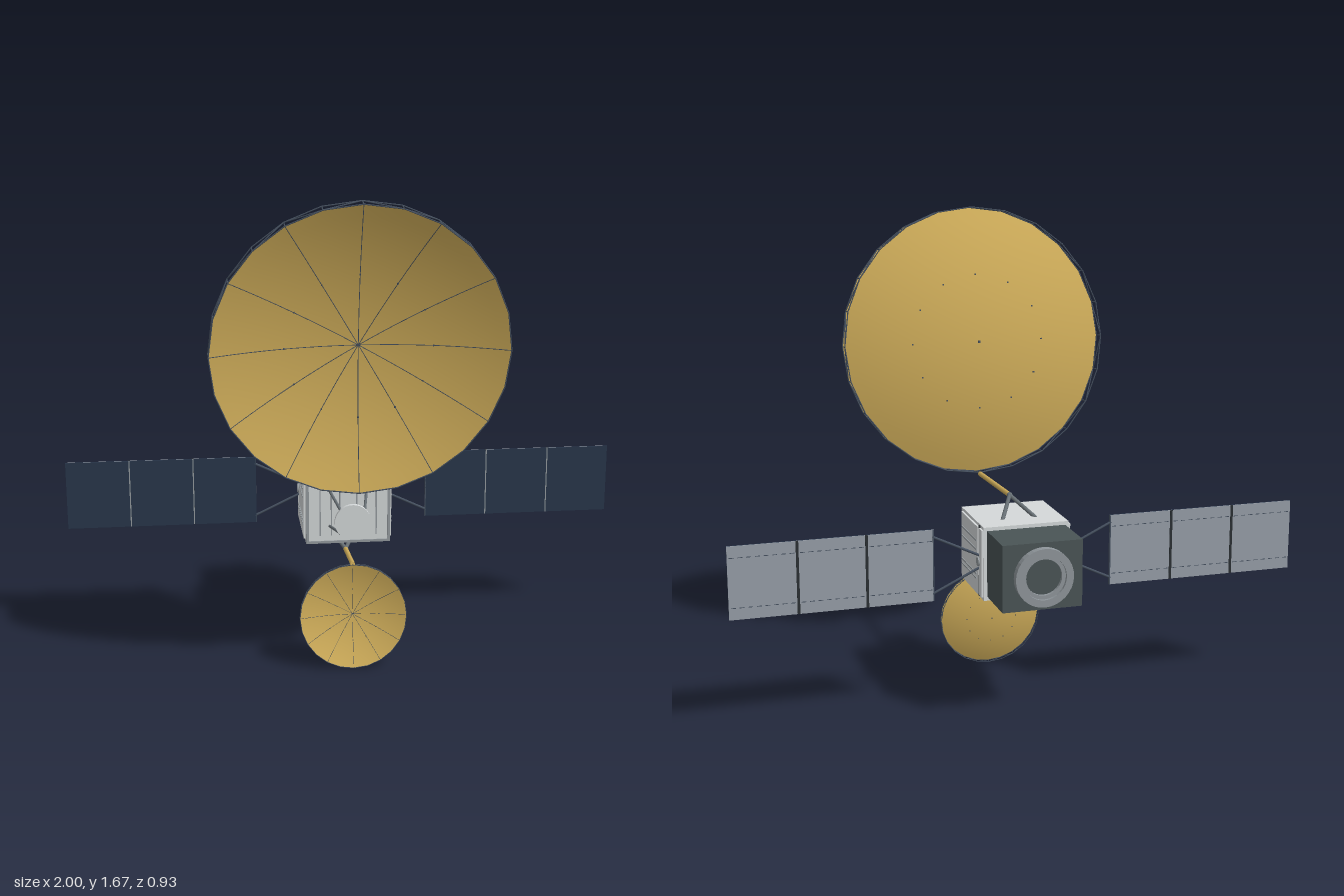
import * as THREE from 'three';
import { mergeGeometries } from 'three/addons/utils/BufferGeometryUtils.js';

const mat = (name, color, side = THREE.FrontSide) => {
  const m = new THREE.MeshStandardMaterial({ color, side });
  m.name = name;
  return m;
};
const V = (x, y, z) => new THREE.Vector3(x, y, z);

// Cylinder running from a to b
function barGeo(a, b, r, sides = 6) {
  const d = b.clone().sub(a);
  const g = new THREE.CylinderGeometry(r, r, d.length(), sides);
  g.applyQuaternion(new THREE.Quaternion().setFromUnitVectors(V(0, 1, 0), d.normalize()));
  const mid = a.clone().add(b).multiplyScalar(0.5);
  return g.translate(mid.x, mid.y, mid.z);
}

export function createModel() {
  const root = new THREE.Group();
  root.name = 'satellite';
  const gold = mat('gold', 0xcfad5a, THREE.DoubleSide);
  const hull = mat('hull grey', 0xd5d9da);
  const trim = mat('trim grey', 0x959b9f);
  const dark = mat('dark slate', 0x4a5456);
  const strut = mat('strut grey', 0x676f74);
  const wire = mat('truss navy', 0x465160);
  const cell = mat('solar navy', 0x28374b);
  const back = mat('panel back grey', 0x979ea8);
  const black = mat('black', 0x2a2f33);
  const ringMat = mat('ring grey', 0x8f969b, THREE.DoubleSide);

  const add = (name, geo, m, parent = root) => {
    const mesh = new THREE.Mesh(geo, m);
    mesh.name = name;
    parent.add(mesh);
    return mesh;
  };
  const box = (name, w, h, d, x, y, z, m, parent) =>
    add(name, new THREE.BoxGeometry(w, h, d).translate(x, y, z), m, parent);
  const bar = (name, a, b, r, m, parent) => add(name, barGeo(a, b, r, 8), m, parent);

  const CY = 0.533; // height of the body axis

  // Main body and rear equipment box
  box('body', 0.3, 0.257, 0.28, 0, CY - 0.001, -0.12, hull);
  box('rearBox', 0.276, 0.23, 0.18, 0, CY, -0.35, dark);

  // Raised frame and vertical ribs on the front face
  for (const s of [-1, 1]) {
    box('frontFrameSide', 0.01, 0.257, 0.004, s * 0.145, CY - 0.001, 0.022, trim);
    box('frontFrameEdge', 0.28, 0.009, 0.004, 0, CY - 0.001 + s * 0.124, 0.022, trim);
    for (const x of [0.03, 0.06, 0.1])
      box('frontRib', 0.004, 0.2, 0.005, s * x, CY, 0.022, trim);

    // Side plates, the seam between them and long ribs
    box('sidePlate', 0.008, 0.235, 0.21, s * 0.153, CY, -0.105, hull);
    box('sidePlateRear', 0.008, 0.235, 0.036, s * 0.153, CY, -0.24, hull);
    box('sideSeam', 0.006, 0.25, 0.007, s * 0.152, CY, -0.215, black);
    for (const y of [-0.066, -0.05, 0.035, 0.067])
      box('sideRib', 0.004, 0.005, 0.19, s * 0.158, CY + y, -0.105, trim);
  }

  // Engine ring at the rear
  const ring = [[0.062, 0], [0.062, 0.015], [0.075, 0.015], [0.075, 0.025], [0.1, 0.025], [0.1, 0]]
    .map(([r, h]) => new THREE.Vector2(r, h)).reverse();
  add('engineRing', new THREE.LatheGeometry(ring, 32).toNonIndexed().rotateX(-Math.PI / 2)
    .translate(0, CY, -0.44), ringMat).geometry.computeVertexNormals();
  add('engineCore', new THREE.CylinderGeometry(0.062, 0.062, 0.005, 32).rotateX(Math.PI / 2)
    .translate(0, CY, -0.441), dark);

  // Feed disc on four splayed legs
  add('feedDisc', new THREE.CylinderGeometry(0.063, 0.063, 0.014, 32).rotateX(Math.PI / 2)
    .translate(0, CY, 0.168), hull);
  for (const sx of [-1, 1]) for (const sy of [-1, 1])
    bar('feedLeg', V(sx * 0.066, CY + sy * 0.066, 0.018), V(sx * 0.042, CY + sy * 0.042, 0.163), 0.005, strut);

  // Solar wings
  for (const s of [-1, 1]) {
    const wing = new THREE.Group();
    wing.name = s > 0 ? 'leftWing' : 'rightWing';
    root.add(wing);
    const Z = -0.222;
    add('wingHub', new THREE.CylinderGeometry(0.016, 0.016, 0.012, 16).rotateZ(Math.PI / 2)
      .translate(s * 0.156, CY, Z), trim, wing);
    for (const t of [-1, 1])
      bar('yokeArm', V(s * 0.155, CY + t * 0.022, Z), V(s * 0.318, CY + t * 0.1, Z), 0.0045, wire, wing);
    for (let i = 0; i < 3; i++) {
      const x = s * (0.4265 + i * 0.2302);
      box('panelFront', 0.226, 0.25, 0.004, x, CY, Z + 0.002, cell, wing);
      box('panelBack', 0.226, 0.25, 0.003, x, CY, Z - 0.0015, back, wing);
      for (const t of [-1, 1]) for (let k = 0; k < 8; k++)
        box('backDash', 0.016, 0.0025, 0.0006, x + (k - 3.5) * 0.028, CY + t * 0.085, Z - 0.0032, wire, wing);
      if (i) {
        box('hingeFront', 0.004, 0.25, 0.003, x - s * 0.115, CY, Z + 0.002, trim, wing);
        box('hingeBack', 0.009, 0.25, 0.004, x - s * 0.115, CY, Z - 0.0025, black, wing);
      }
    }
    box('wingRootEdge', 0.004, 0.25, 0.008, s * 0.315, CY, Z, wire, wing);
  }

  // Mesh dish: parabolic skin, rim truss and twelve ribs
  function dish(name, R, depth, trussDepth, r, center, tilt) {
    const g = new THREE.Group();
    g.name = name;
    g.position.copy(center);
    g.rotation.x = tilt;
    root.add(g);
    const bowl = (q) => depth * (q * q - 1);
    const pts = [];
    for (let i = 0; i <= 12; i++) pts.push(new THREE.Vector2(R * i / 12, bowl(i / 12)));
    add('dishSkin', new THREE.LatheGeometry(pts, 24).rotateX(Math.PI / 2), gold, g);

    const N = 24, truss = [], ribs = [];
    const rim = (i, z) => V(R * Math.cos(i * Math.PI * 2 / N), R * Math.sin(i * Math.PI * 2 / N), z);
    for (let i = 0; i < N; i++) {
      truss.push(barGeo(rim(i, 0), rim(i + 1, 0), r), barGeo(rim(i, -trussDepth), rim(i + 1, -trussDepth), r));
      truss.push(barGeo(rim(i, 0), rim(i, -trussDepth), r));
      truss.push(i % 2 ? barGeo(rim(i, 0), rim(i + 1, -trussDepth), r) : barGeo(rim(i, -trussDepth), rim(i + 1, 0), r));
    }
    add('rimTruss', mergeGeometries(truss), wire, g);

    // Ribs rest on the skin; a small fastener passes through each one
    for (let i = 0; i < 12; i++) {
      const a = i * Math.PI / 6;
      const at = (q) => V(R * q * Math.cos(a), R * q * Math.sin(a), bowl(q) + r * 0.65);
      for (let k = 0; k < 12; k++) ribs.push(barGeo(at(k / 12), at((k + 1) / 12), r * 0.6, 5));
      const p = at(0.5);
      ribs.push(new THREE.BoxGeometry(r * 2.5, r * 2.5, r * 3).translate(p.x, p.y, p.z - r));
    }
    ribs.push(new THREE.BoxGeometry(r * 4, r * 4, r * 4).translate(0, 0, -depth));
    add('dishRibs', mergeGeometries(ribs), wire, g);
  }
  dish('largeDish', 0.487, 0.092, 0.047, 0.0021, V(0, 1.184, 0.41), 0.107);
  dish('smallDish', 0.187, 0.035, 0.015, 0.0011, V(0, 0.19, 0.193), -0.1);

  // Booms with forked roots
  const boom = (name, tip, elbow, footY) => {
    bar(name, tip, elbow, 0.009, gold);
    add(name + 'Elbow', new THREE.SphereGeometry(0.01, 12, 8).translate(elbow.x, elbow.y, elbow.z), strut);
    for (const s of [-1, 1]) bar(name + 'Fork', elbow, V(s * 0.06, footY, -0.178), 0.007, strut);
  };
  boom('upperBoom', V(0, 0.7, 0.312), V(0, 0.714, -0.065), 0.657);
  boom('lowerBoom', V(0, 0.376, 0.165), V(0, 0.347, -0.065), 0.407);

  return root;
}
